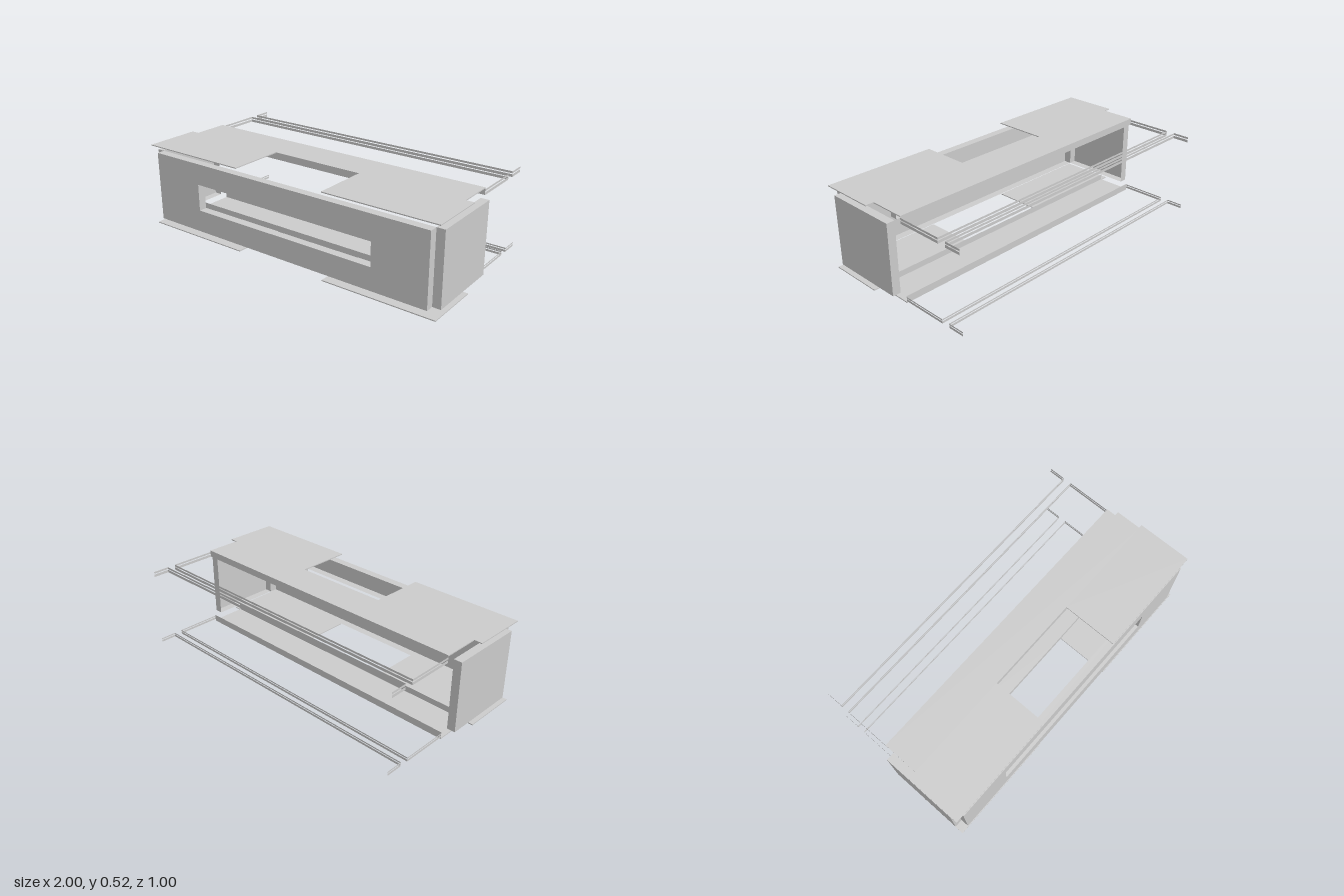
import * as THREE from 'three';

const material = new THREE.MeshStandardMaterial({ color: 0xcccccc, side: THREE.DoubleSide, flatShading: true });
const W = 0.95, FOLD = 0.05, LOW = 0.043, HIGH = 0.475, TOP = 0.518, THICK = 0.006;

// Flat sheet spanning two corners; the axis with equal values is its normal.
function sheet(parent, name, [x0, x1], [y0, y1], [z0, z1]) {
  const dx = x1 - x0, dy = y1 - y0, dz = z1 - z0;
  let geo;
  if (dx === 0) geo = new THREE.PlaneGeometry(dz, dy).rotateY(Math.PI / 2);
  else if (dy === 0) geo = new THREE.PlaneGeometry(dx, dz).rotateX(-Math.PI / 2);
  else geo = new THREE.PlaneGeometry(dx, dy);
  geo.translate((x0 + x1) / 2, (y0 + y1) / 2, (z0 + z1) / 2);
  const mesh = new THREE.Mesh(geo, material);
  mesh.name = name;
  parent.add(mesh);
}

function group(parent, name) {
  const g = new THREE.Group();
  g.name = name;
  parent.add(g);
  return g;
}

// Four sheets closing the border of a rectangle, running from z0 to z1.
function border(parent, name, x, y0, y1, z) {
  for (const s of [-1, 1]) sheet(parent, name, [s * x, s * x], [y0, y1], z);
  for (const y of [y0, y1]) sheet(parent, name, [-x, x], [y, y], z);
}

// Front panel with a window and folded edges
function frontPanel(root) {
  const g = group(root, 'frontPanel');
  const rect = (T, x, y0, y1) => new T([[-x, y0], [x, y0], [x, y1], [-x, y1]].map(p => new THREE.Vector2(...p)));
  const shape = rect(THREE.Shape, W, LOW, HIGH);
  shape.holes.push(rect(THREE.Path, 0.613, 0.18, 0.345));
  const face = new THREE.Mesh(new THREE.ShapeGeometry(shape).translate(0, 0, 0.5), material);
  face.name = 'frontFace';
  g.add(face);
  border(g, 'edgeFold', W, LOW, HIGH, [0.45, 0.5]);
  border(g, 'windowFold', 0.613, 0.18, 0.345, [0.45, 0.5]);
}

// Side panel with folds turned inward on all four edges
function sidePanel(root, s) {
  const g = group(root, s > 0 ? 'leftPanel' : 'rightPanel');
  const z = [-0.01, 0.45];
  const inward = s > 0 ? [1 - FOLD, 1] : [-1, FOLD - 1];
  sheet(g, 'sideFace', [s, s], [LOW, HIGH], z);
  for (const y of [LOW, HIGH]) sheet(g, 'sideFold', inward, [y, y], z);
  for (const d of z) sheet(g, 'sideFold', inward, [LOW, HIGH], [d, d]);
}

// Notched cover plate with two cross ribs, used at top and bottom
function coverPlate(root, name, y, ribY) {
  const g = group(root, name);
  const half = [[0.3, 0.16], [0.3, 0.5], [1, 0.5], [1, 0.16], [W, 0.16], [W, -0.06]];
  const outline = [...half, ...half.map(([x, z]) => [-x, z]).reverse()];
  const shape = new THREE.Shape(outline.map(([x, z]) => new THREE.Vector2(x, -z)));
  const geo = new THREE.ExtrudeGeometry(shape, { depth: THICK, bevelEnabled: false });
  geo.rotateX(-Math.PI / 2).translate(0, y, 0);
  const plate = new THREE.Mesh(geo, material);
  plate.name = 'plate';
  g.add(plate);
  for (const z of [0.16, -0.06]) sheet(g, 'crossRib', [-W, W], ribY, [z, z]);
}

// Pair of thin strips behind the case: a U-shaped rail and a detached one
function rearRails(root, name, bands) {
  const g = group(root, name);
  for (const band of bands) {
    for (const [cross, z] of [[-0.345, [-0.345, -0.06]], [-0.398, [-0.5, -0.398]]]) {
      sheet(g, 'railCross', [-W, W], band, [cross, cross]);
      for (const s of [-1, 1]) sheet(g, 'railArm', [s * W, s * W], band, z);
    }
  }
}

export function createModel() {
  const root = new THREE.Group();
  root.name = 'sheetMetalCase';
  frontPanel(root);
  for (const s of [-1, 1]) sidePanel(root, s);
  coverPlate(root, 'topPlate', TOP - THICK, [HIGH, TOP - THICK]);
  coverPlate(root, 'bottomPlate', 0, [THICK, LOW]);
  rearRails(root, 'upperRails', [[0.474, 0.49], [0.496, 0.508]]);
  rearRails(root, 'lowerRails', [[0.012, 0.025], [0.03, 0.038]]);
  return root;
}
